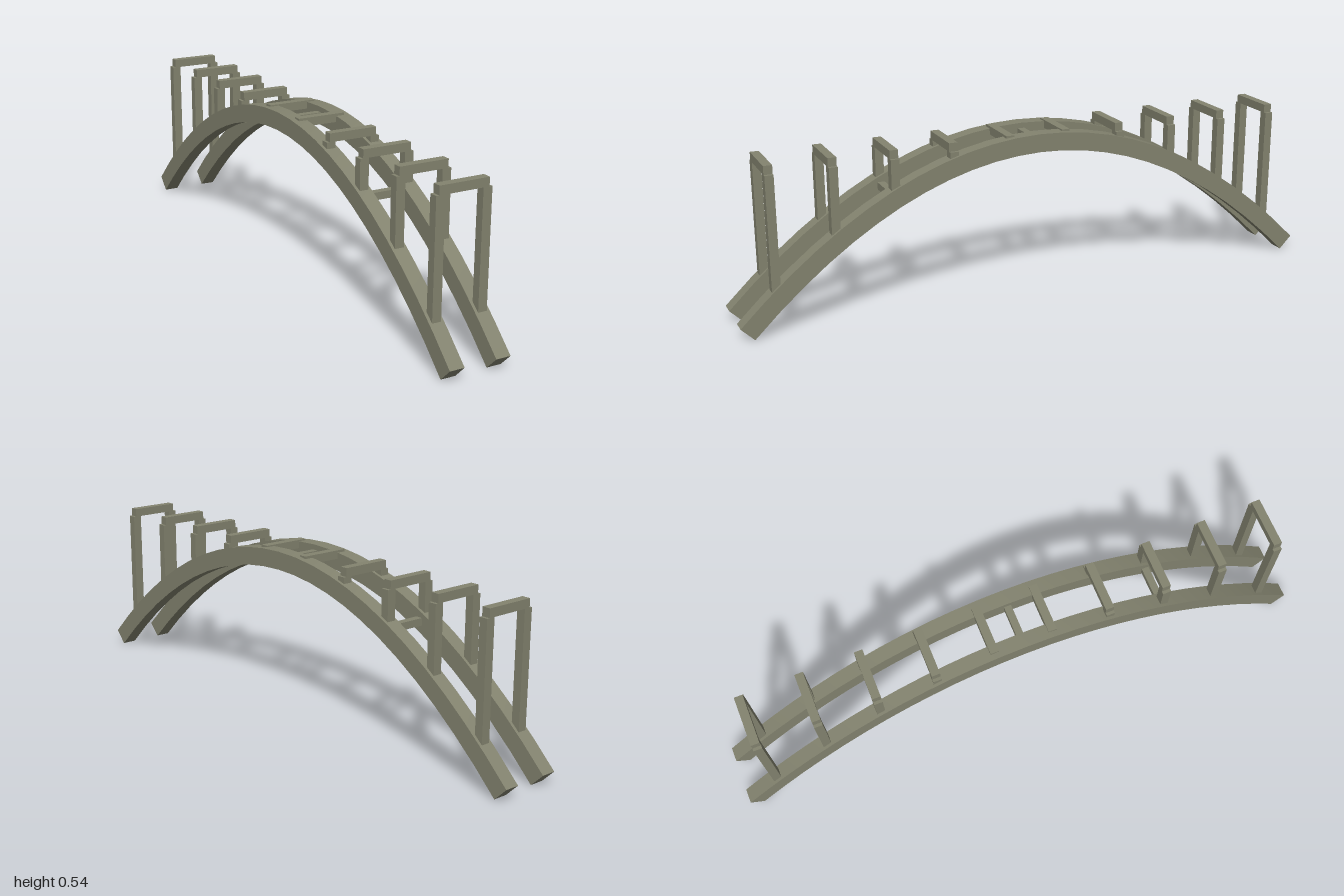
import * as THREE from 'three';
import { toCreasedNormals } from 'three/addons/utils/BufferGeometryUtils.js';

const HALF_SPAN = 0.98, CROWN = 0.51, RISE = 0.488;
const RIB_X = 0.078, RIB_WIDTH = 0.049, RIB_DEPTH = 0.06;
const DECK_BEAM_BOTTOM = 0.513, DECK_BEAM_TOP = 0.541;

// Height of the parabolic arch axis at z
const axisY = (z) => CROWN - RISE * (z / HALF_SPAN) ** 2;

// Arch rib: parabola thickened along its normal, then extruded sideways
function ribGeometry() {
  const steps = 24, outer = [], inner = [];
  for (let i = 0; i <= steps; i++) {
    const z = -HALF_SPAN + (2 * HALF_SPAN * i) / steps;
    const slope = (-2 * RISE * z) / HALF_SPAN ** 2;
    const normal = new THREE.Vector2(-slope, 1).setLength(RIB_DEPTH / 2);
    const p = new THREE.Vector2(z, axisY(z));
    outer.push(p.clone().add(normal));
    inner.unshift(p.clone().sub(normal));
  }
  const geometry = new THREE.ExtrudeGeometry(new THREE.Shape([...outer, ...inner]), {
    depth: RIB_WIDTH, bevelEnabled: false,
  });
  geometry.translate(0, 0, -RIB_WIDTH / 2);
  geometry.rotateY(-Math.PI / 2);
  return toCreasedNormals(geometry, 0.5);
}

export function createModel() {
  const model = new THREE.Group();
  model.name = 'archBridgeFrame';
  const concrete = new THREE.MeshStandardMaterial({ color: 0x83836f });
  concrete.name = 'concrete';

  const add = (parent, name, geometry, x, y, z) => {
    const mesh = new THREE.Mesh(geometry, concrete);
    mesh.name = name;
    mesh.position.set(x, y, z);
    parent.add(mesh);
  };

  // Twin arch ribs
  const rib = ribGeometry();
  add(model, 'leftArchRib', rib, RIB_X, 0, 0);
  add(model, 'rightArchRib', rib, -RIB_X, 0, 0);

  // Struts tying the ribs at the crown and quarter points
  const strut = new THREE.BoxGeometry(2 * RIB_X, 0.024, 0.024);
  for (const z of [-0.49, 0, 0.49]) add(model, 'crossStrut', strut, 0, axisY(z), z);

  // Portal bents: two columns standing on the ribs and a cap beam
  const beamHeight = DECK_BEAM_TOP - DECK_BEAM_BOTTOM;
  const beam = new THREE.BoxGeometry(0.166, beamHeight, 0.028);
  for (let i = 0; i < 10; i++) {
    const z = (i - 4.5) * 0.196;
    const bent = new THREE.Group();
    bent.name = 'bent';
    bent.position.z = z;
    const foot = axisY(z), height = DECK_BEAM_BOTTOM - foot;
    const column = new THREE.BoxGeometry(0.03, height, 0.028);
    for (const side of [1, -1]) {
      add(bent, side > 0 ? 'leftColumn' : 'rightColumn', column, side * RIB_X, foot + height / 2, 0);
    }
    add(bent, 'capBeam', beam, 0, DECK_BEAM_BOTTOM + beamHeight / 2, 0);
    model.add(bent);
  }
  return model;
}
